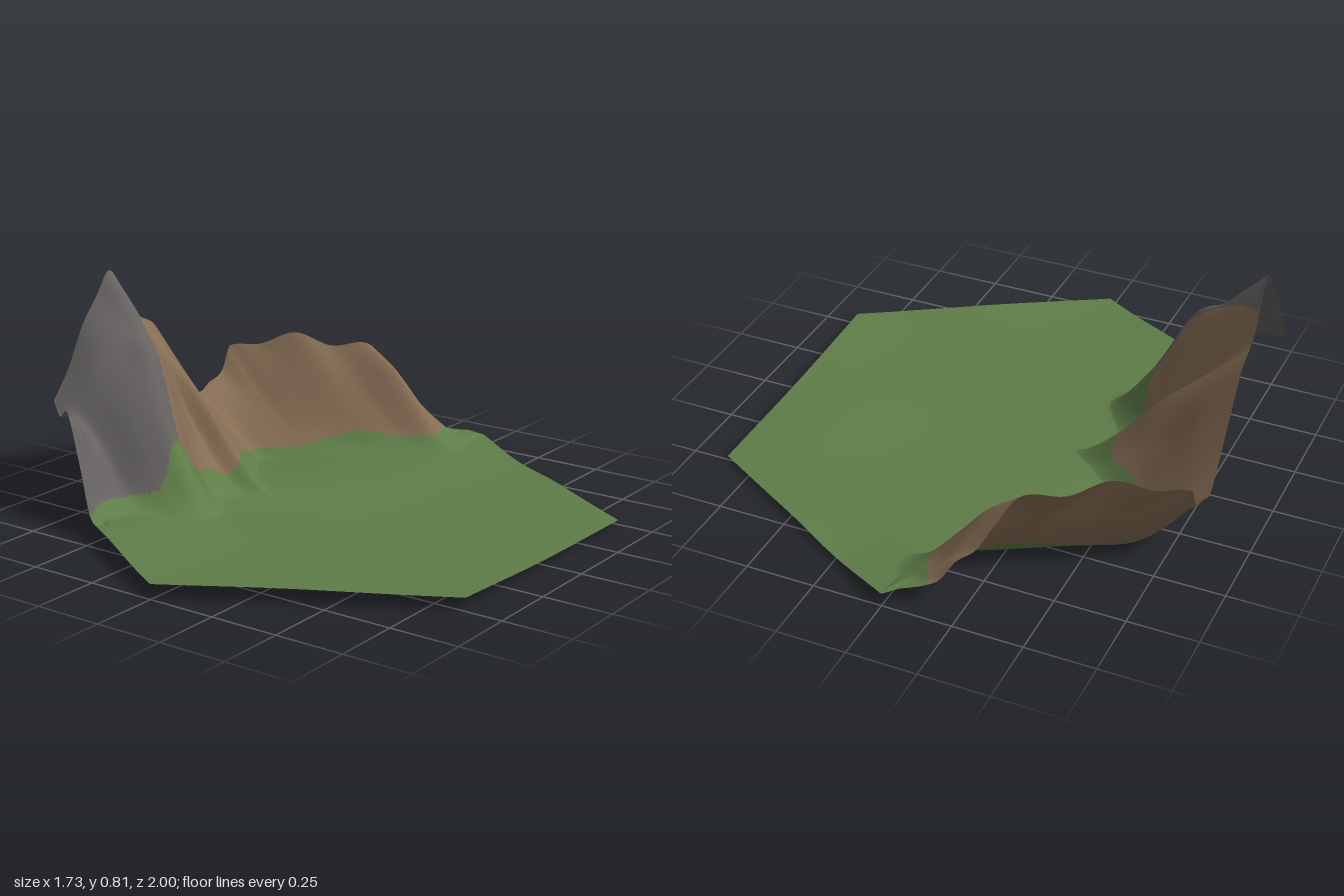
import * as THREE from 'three';

// Cross-sections of the mountain rim: z, then heights from the outer edge towards the foot
const SECTIONS = [
  [-1, .07, .07, .07, .07],
  [-.91, .09, .08, .07, .065],
  [-.88, .165, .13, .1, .07],
  [-.845, .21, .18, .12, .08],
  [-.82, .29, .24, .16, .085],
  [-.775, .41, .335, .215, .1],
  [-.7, .40, .30, .19, .095],
  [-.63, .45, .33, .21, .105],
  [-.56, .40, .3, .19, .095],
  [-.5, .39, .27, .16, .08],
  [-.45, .30, .22, .13, .06],
  [-.37, .27, .19, .11, .045],
  [-.3, .25, .19, .12, .06],
  [-.15, .44, .33, .21, .1],
  [-.05, .57, .42, .25, .12],
  [.02, .61, .47, .33, .15],
  [.08, .65, .47, .28, .125],
  [.18, .815, .67, .49, .16],
  [.26, .735, .635, .54, .2],
  [.34, .64, .565, .47, .22],
  [.42, .50, .48, .38, .155],
  [.5, .40, .375, .28, .13],
  [.535, .36, .35, .26, .12],
  [.58, .40, .34, .21, .11],
  [.64, .25, .18, .12, .08],
  [.7, .08, .07, .065, .06],
  [1, .06, .06, .06, .06],
];

// Foot of the slope: z, x
const FOOT = [[-1, 0], [-.9, 0], [-.775, .02], [-.7, -.1], [-.63, -.23], [-.56, -.34], [-.5, -.42], [-.45, -.49],
  [-.37, -.6], [-.3, -.57], [-.15, -.45], [-.05, -.34], [.02, -.26], [.08, -.33], [.18, -.35], [.26, -.3],
  [.34, -.26], [.42, -.3], [.5, -.43], [.58, -.48], [.64, -.48], [.7, -.46], [.74, -.52], [1, -.1]];

// Upper limit of the grass: z, x
const GRASS = [[-1, -.2], [-.9, -.12], [-.78, -.08], [-.72, -.16], [-.62, -.35], [-.48, -.51], [-.37, -.65],
  [-.2, -.58], [-.1, -.5], [-.04, -.42], [.05, -.41], [.13, -.47], [.2, -.45], [.26, -.43], [.33, -.45],
  [.43, -.44], [.5, -.52], [.6, -.55], [.7, -.53], [1, -.5]];

// Smooth curve through rows of numbers whose first entry is the position
function sample(rows, p, col) {
  let i = 0;
  while (i < rows.length - 2 && p > rows[i + 1][0]) i++;
  const slope = k => {
    const a = rows[Math.max(k - 1, 0)], b = rows[Math.min(k + 1, rows.length - 1)];
    return (b[col] - a[col]) / (b[0] - a[0]);
  };
  const a = rows[i], b = rows[i + 1], d = b[0] - a[0];
  const u = (p - a[0]) / d, u2 = u * u, u3 = u2 * u;
  return (2 * u3 - 3 * u2 + 1) * a[col] + (u3 - 2 * u2 + u) * d * slope(i)
    + (3 * u2 - 2 * u3) * b[col] + (u3 - u2) * d * slope(i + 1);
}

const bump = (x, z, cx, cz, r) => Math.exp(-((x - cx) ** 2 + (z - cz) ** 2) / (r * r));

// Gently rolling meadow, tilted on its left side
function ground(x, z) {
  return .036 + .025 * z * z + Math.max(x, 0) * (.035 * z - .007)
    - .03 * bump(x, z, -.63, -.38, .25) - .017 * bump(x, z, .15, -.1, .4)
    - .018 * bump(x, z, .25, -.85, .2) + .025 * bump(x, z, -.42, .66, .3)
    + .003 * Math.sin(7 * x + 2 * z) * Math.sin(5 * z);
}

export function createModel() {
  const materials = [['grass', 0x5f7d48], ['earth', 0x866d54], ['rock', 0x646160]].map(([name, color]) => {
    const m = new THREE.MeshStandardMaterial({ color, side: THREE.DoubleSide });
    m.name = name;
    return m;
  });

  const ROWS = 200, SLOPE = 50, FLAT = 36, COLS = SLOPE + FLAT;
  const positions = [];
  for (let i = 0; i <= ROWS; i++) {
    const z = -1 + 2 * i / ROWS;
    const half = Math.min(Math.sqrt(.75), (1 - Math.abs(z)) * Math.sqrt(3)); // hexagon outline
    const foot = THREE.MathUtils.clamp(sample(FOOT, z, 1), -half, half);
    const base = ground(foot, z);
    // The rim sinks into the meadow where the slope runs out at the edge
    const rise = THREE.MathUtils.clamp((foot + half) / .05, 0, 1);
    const heights = [1, 2, 3, 4].map(c => THREE.MathUtils.lerp(base, sample(SECTIONS, z, c), rise));
    const profile = [...heights, base, base].map((h, k) => [k / 4, h]);
    for (let j = 0; j <= COLS; j++) {
      const t = j / SLOPE;
      const x = t < 1 ? THREE.MathUtils.lerp(-half, foot, t)
        : THREE.MathUtils.lerp(foot, half, (j - SLOPE) / FLAT);
      positions.push(x, t < 1 ? sample(profile, t, 1) : ground(x, z), z);
    }
  }

  // Sort the triangles into grass, earth and rock
  const lists = [[], [], []];
  const addTriangle = (...ids) => {
    const x = ids.reduce((s, k) => s + positions[3 * k], 0) / 3;
    const z = ids.reduce((s, k) => s + positions[3 * k + 2], 0) / 3;
    const kind = x > sample(GRASS, z, 1) ? 0 : z > .12 + .45 * (x + .866) ? 2 : 1;
    lists[kind].push(...ids);
  };
  for (let i = 0; i < ROWS; i++) {
    for (let j = 0; j < COLS; j++) {
      const a = i * (COLS + 1) + j, b = a + COLS + 1;
      addTriangle(a, b, b + 1);
      addTriangle(a, b + 1, a + 1);
    }
  }

  const geometry = new THREE.BufferGeometry();
  geometry.setAttribute('position', new THREE.Float32BufferAttribute(positions, 3));
  geometry.setIndex(lists.flat());
  let start = 0;
  lists.forEach((list, k) => {
    geometry.addGroup(start, list.length, k);
    start += list.length;
  });
  geometry.computeBoundingBox();
  geometry.translate(0, -geometry.boundingBox.min.y, 0);
  geometry.computeVertexNormals();

  const terrain = new THREE.Mesh(geometry, materials);
  terrain.name = 'terrain';
  const group = new THREE.Group();
  group.name = 'mountainTile';
  group.add(terrain);
  return group;
}
